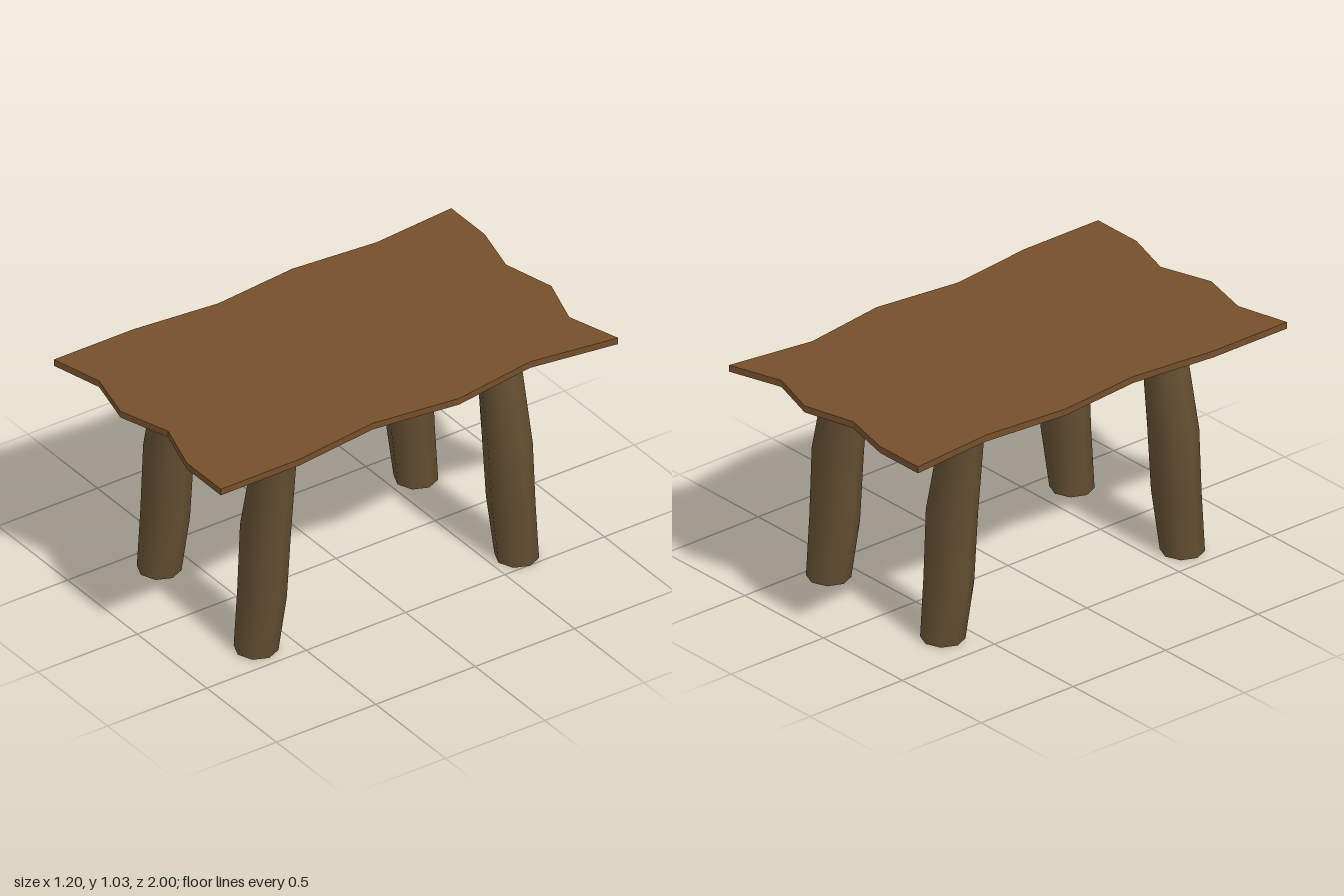
import * as THREE from 'three';
import { mergeVertices } from 'three/addons/utils/BufferGeometryUtils.js';

const tableWood = new THREE.MeshStandardMaterial({ color: 0x754f2b });
tableWood.name = 'tableWood';
const legBark = new THREE.MeshStandardMaterial({ color: 0x634e31, side: THREE.DoubleSide });
legBark.name = 'legBark';

// Slab with a wavy, hand-cut outline, given as [x, z]
function makeTop() {
  const outline = [
    [-0.6, -1], [-0.36, -1], [-0.12, -0.94], [0.12, -1], [0.355, -0.925], [0.6, -1],
    [0.54, -0.6], [0.6, -0.2], [0.55, 0.2], [0.6, 0.6], [0.6, 1],
    [0.355, 1], [0.115, 0.925], [-0.12, 1], [-0.36, 0.94], [-0.6, 1],
    [-0.6, 0.6], [-0.56, 0.2], [-0.6, -0.2], [-0.565, -0.6],
  ];
  const shape = new THREE.Shape(outline.map(([x, z]) => new THREE.Vector2(x, -z)));
  const geometry = new THREE.ExtrudeGeometry(shape, { depth: 0.03, bevelEnabled: false });
  geometry.rotateX(-Math.PI / 2).translate(0, 1, 0);
  return new THREE.Mesh(geometry, tableWood);
}

// Crooked, hollow trunk: an open tube whose rings are shifted and scaled
function makeLegGeometry() {
  const rings = [ // from the foot up: height, centre x, centre z, width, depth
    [0, -0.0225, 0, 0.19, 0.185],
    [0.27, -0.004, -0.017, 0.233, 0.19],
    [0.58, -0.0075, -0.037, 0.24, 0.195],
    [1, 0.06, -0.04, 0.165, 0.195],
  ];
  const geometry = new THREE.CylinderGeometry(0.5, 0.5, 3, 8, 3, true);
  const pos = geometry.attributes.position;
  for (let i = 0; i < pos.count; i++) {
    const [y, cx, cz, w, d] = rings[Math.round(pos.getY(i) + 1.5)];
    pos.setXYZ(i, cx + pos.getX(i) * w, y, cz + pos.getZ(i) * d);
  }
  // Weld the seam so the bark shades smoothly all round
  geometry.deleteAttribute('uv');
  geometry.deleteAttribute('normal');
  const welded = mergeVertices(geometry);
  welded.computeVertexNormals();
  return welded;
}

export function createModel() {
  const table = new THREE.Group();
  table.name = 'rusticTable';

  const top = makeTop();
  top.name = 'tableTop';
  table.add(top);

  // Back legs are the front legs turned half way round
  const legGeometry = makeLegGeometry();
  const legs = [
    ['frontLeftLeg', 0.387, 0.6575, 0],
    ['frontRightLeg', -0.3375, 0.6375, 0],
    ['backLeftLeg', 0.387, -0.6225, Math.PI],
    ['backRightLeg', -0.3375, -0.6225, Math.PI],
  ];
  for (const [name, x, z, turn] of legs) {
    const leg = new THREE.Mesh(legGeometry, legBark);
    leg.name = name;
    leg.position.set(x, 0, z);
    leg.rotation.y = turn;
    table.add(leg);
  }
  return table;
}
